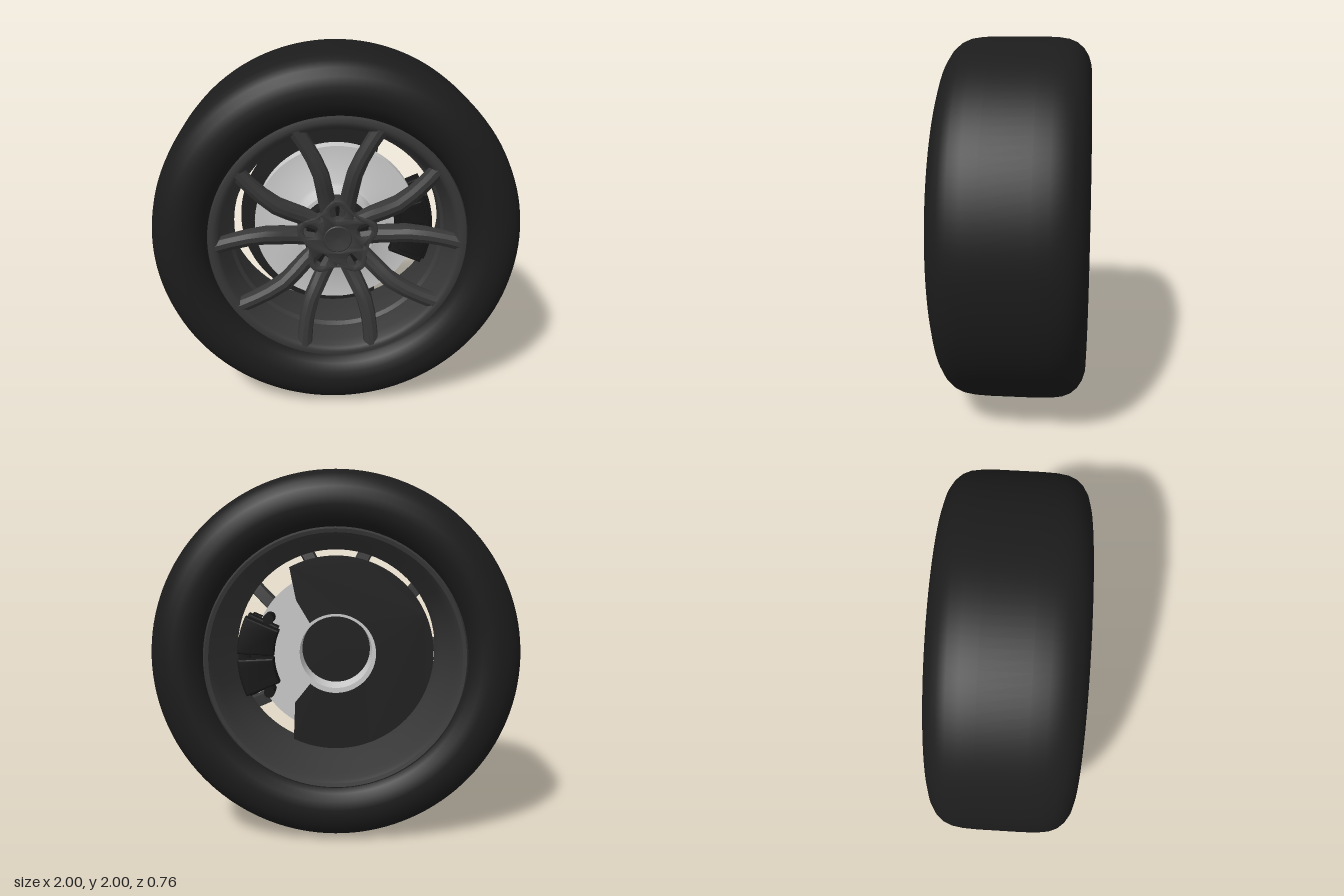
import * as THREE from 'three';
import { toCreasedNormals } from 'three/addons/utils/BufferGeometryUtils.js';

const mat = (color) => new THREE.MeshStandardMaterial({ color });
const rubber = mat(0x1c1c1c), alloy = mat(0x383838), dark = mat(0x202020), black = mat(0x161616), steel = mat(0xcccccc);
const rad = THREE.MathUtils.degToRad;

function add(parent, name, geometry, material, z = 0) {
  const mesh = new THREE.Mesh(geometry, material);
  mesh.name = name;
  mesh.position.z = z;
  parent.add(mesh);
  return mesh;
}

// Closed [radius, z] profile turned about the axle; outer side runs towards +z
function turned(profile, segments = 96, crease = 0.6) {
  const pts = profile.map(([r, z]) => new THREE.Vector2(r, z));
  pts.push(pts[0].clone());
  return toCreasedNormals(new THREE.LatheGeometry(pts, segments).rotateX(Math.PI / 2), crease);
}

function extruded(shape, depth, bevel = 0) {
  return toCreasedNormals(new THREE.ExtrudeGeometry(shape, {
    depth, curveSegments: 40, bevelEnabled: bevel > 0, bevelSize: bevel, bevelThickness: bevel, bevelSegments: 2,
  }), 0.5);
}

function arcBlock(r0, r1, a0, a1) {
  const s = new THREE.Shape();
  s.absarc(0, 0, r1, rad(a0), rad(a1), false);
  s.absarc(0, 0, r0, rad(a1), rad(a0), true);
  return s;
}

// Cylinder lying along the axle
const rod = (r0, r1, depth, n = 24) => new THREE.CylinderGeometry(r0, r1, depth, n).rotateX(Math.PI / 2);

// One arm of a forked spoke: a bevelled section swept along [x, y, z, halfWidth, depth]
function spokeGeometry(side) {
  const path = [
    [0.045, 0.12, 0.235, 0.045, 0.08], [0.06, 0.22, 0.25, 0.046, 0.10], [0.072, 0.29, 0.275, 0.045, 0.11],
    [0.088, 0.37, 0.295, 0.044, 0.11], [0.125, 0.46, 0.303, 0.042, 0.10], [0.168, 0.54, 0.308, 0.041, 0.09],
    [0.205, 0.60, 0.312, 0.043, 0.08], [0.226, 0.635, 0.314, 0.05, 0.06],
  ];
  const pos = [], index = [], n = 8;
  path.forEach(([x, y, z, w, d], i) => {
    const a = path[Math.max(i - 1, 0)], b = path[Math.min(i + 1, path.length - 1)];
    const t = new THREE.Vector2(side * (b[0] - a[0]), b[1] - a[1]).normalize();
    const section = [[-0.75, -d], [0.75, -d], [1, -0.045], [0.85, -0.015], [0.3, 0], [-0.3, 0], [-0.85, -0.015], [-1, -0.045]];
    for (const [s, h] of section) pos.push(side * x + t.y * s * w, y - t.x * s * w, z + h);
    if (i) for (let k = 0; k < n; k++) {
      const p = (i - 1) * n + k, q = (i - 1) * n + (k + 1) % n;
      index.push(p, q + n, q, p, p + n, q + n);
    }
  });
  const g = new THREE.BufferGeometry();
  g.setAttribute('position', new THREE.Float32BufferAttribute(pos, 3));
  g.setIndex(index);
  return toCreasedNormals(g, 0.45);
}

function makeTyre() {
  const half = [[0.69, 0.285], [0.70, 0.315], [0.725, 0.345], [0.765, 0.37], [0.81, 0.38], [0.855, 0.378],
    [0.90, 0.364], [0.94, 0.338], [0.97, 0.303], [0.988, 0.26], [0.997, 0.20], [1, 0.12]];
  const back = half.map(([r, z]) => [r, -z]);
  return turned([...back, ...half.reverse()], 128, 0.9);
}

function makeRim() {
  return turned([
    [0.69, -0.34], [0.70, -0.325], [0.695, -0.28], [0.66, -0.25], [0.625, -0.15], [0.60, 0], [0.60, 0.13],
    [0.65, 0.2], [0.69, 0.26], [0.695, 0.295], [0.687, 0.312], [0.665, 0.316], [0.645, 0.31], [0.632, 0.295],
    [0.622, 0.24], [0.60, 0.19], [0.595, 0.14], [0.578, 0.12], [0.576, 0.02], [0.59, -0.05], [0.61, -0.15],
    [0.64, -0.25], [0.655, -0.31], [0.67, -0.335],
  ]);
}

// Five-lobed hub plate with bolt and pin holes
function makeHub() {
  const pts = [];
  for (let i = 0; i < 100; i++) {
    const a = i / 100 * Math.PI * 2, r = 0.19 + 0.03 * Math.cos(5 * (a - Math.PI / 2));
    pts.push(new THREE.Vector2(r * Math.cos(a), r * Math.sin(a)));
  }
  const shape = new THREE.Shape(pts);
  const hole = (r, a, size) => shape.holes.push(
    new THREE.Path().absarc(r * Math.cos(a), r * Math.sin(a), size, 0, Math.PI * 2, true));
  for (let i = 0; i < 5; i++) {
    hole(0.152, rad(90 + 72 * i), 0.046);
    hole(0.152, rad(54 + 72 * i), 0.014);
  }
  hole(0, 0, 0.082);
  return extruded(shape, 0.09, 0.006);
}

function makeCaliper() {
  const caliper = new THREE.Group();
  caliper.name = 'brakeCaliper';
  add(caliper, 'caliperFront', extruded(arcBlock(0.34, 0.51, -23, 23), 0.045, 0.012), black, 0.055);
  add(caliper, 'caliperBridge', extruded(arcBlock(0.475, 0.53, -21, 21), 0.24, 0.008), black, -0.15);
  add(caliper, 'caliperBack', extruded(arcBlock(0.36, 0.52, -25, 25), 0.05, 0.01), black, -0.14);
  for (const s of [-1, 1]) {
    // Piston housings, front ribs and mounting ears
    add(caliper, 'pistonHousing', extruded(arcBlock(0.35, 0.525, s * 13 - 10, s * 13 + 10), 0.06, 0.012), black, -0.2);
    add(caliper, 'caliperRib', extruded(arcBlock(0.37, 0.49, s * 12 - 7, s * 12 + 7), 0.02, 0.008), black, 0.1);
    const ear = add(caliper, 'mountingEar', rod(0.03, 0.03, 0.16, 12), black, -0.1);
    ear.position.x = 0.42 * Math.cos(rad(29));
    ear.position.y = s * 0.42 * Math.sin(rad(29));
  }
  return caliper;
}

export function createModel() {
  const model = new THREE.Group();
  model.name = 'wheel';
  const wheel = new THREE.Group();
  wheel.name = 'wheelAssembly';
  wheel.position.y = 1;
  model.add(wheel);

  add(wheel, 'tyre', makeTyre(), rubber);
  add(wheel, 'rim', makeRim(), alloy);

  // Hub, centre cap and bolts
  add(wheel, 'hubPlate', makeHub(), alloy, 0.155);
  add(wheel, 'hubBacking', rod(0.185, 0.185, 0.07, 48), dark, 0.15);
  add(wheel, 'centreCap', turned([[0, 0.18], [0.08, 0.18], [0.08, 0.243], [0.072, 0.25], [0.062, 0.248], [0, 0.236]], 40, 0.3), alloy);
  for (let i = 0; i < 5; i++) {
    const a = rad(90 + 72 * i);
    const bolt = add(wheel, 'wheelBolt', rod(0.026, 0.028, 0.04, 6), black, 0.2);
    bolt.position.x = 0.152 * Math.cos(a);
    bolt.position.y = 0.152 * Math.sin(a);
  }

  // Five forked spokes
  const arms = [spokeGeometry(1), spokeGeometry(-1)];
  for (let i = 0; i < 5; i++) {
    const spoke = new THREE.Group();
    spoke.name = 'forkedSpoke';
    spoke.rotation.z = rad(72 * i);
    for (const arm of arms) add(spoke, 'spokeArm', arm, alloy);
    wheel.add(spoke);
  }

  // Brake disc with raised hat
  add(wheel, 'brakeDisc', turned([
    [0.205, -0.05], [0.46, -0.05], [0.46, 0.03], [0.25, 0.03], [0.225, 0.045], [0.215, 0.13], [0.195, 0.13],
  ]), steel);
  add(wheel, 'axleFlange', rod(0.2, 0.2, 0.03, 48), dark, 0.105);

  // Dust shield, open around the caliper
  const shield = new THREE.Shape();
  shield.absarc(0, 0, 0.545, rad(62), rad(296), false);
  shield.lineTo(0.23, -0.28);
  shield.absarc(0, 0, 0.225, rad(310), rad(50), true);
  shield.lineTo(0.22, 0.3);
  add(wheel, 'dustShield', extruded(shield, 0.012), dark, -0.1);

  wheel.add(makeCaliper());
  return model;
}
